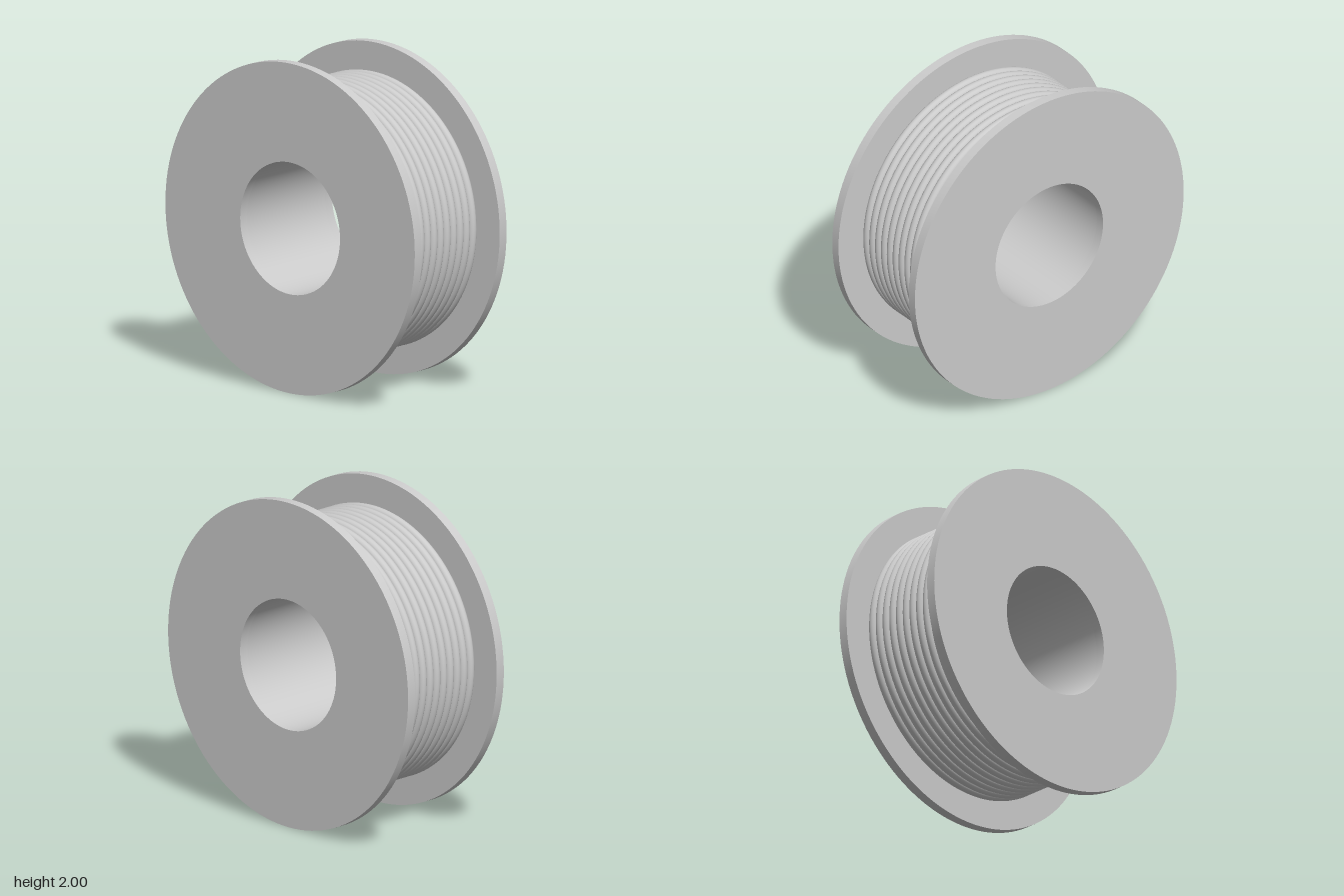
import * as THREE from 'three';
import { toCreasedNormals } from 'three/addons/utils/BufferGeometryUtils.js';

const SEGMENTS = 128;
const HALF_WIDTH = 0.4, FLANGE = 0.06, RIM = 1, BORE = 0.4;
const TURNS = 12, WIRE_OUTER = 0.83;

export function createModel() {
  const model = new THREE.Group();
  model.name = 'wireSpool';
  const material = new THREE.MeshStandardMaterial({ color: 0xcccccc });

  const add = (name, geometry, x = 0) => {
    const mesh = new THREE.Mesh(geometry, material);
    mesh.name = name;
    mesh.position.set(x, 1, 0);
    model.add(mesh);
  };

  // Turned part about the x axis, from [radius, x] points
  const turned = (points) => {
    const profile = points.map(([r, x]) => new THREE.Vector2(r, x));
    const lathe = new THREE.LatheGeometry(profile, SEGMENTS).rotateZ(-Math.PI / 2);
    return toCreasedNormals(lathe, Math.PI / 6);
  };

  // Two flat flanges with a central hole
  const h = FLANGE / 2;
  const flange = turned([[BORE, -h], [RIM, -h], [RIM, h], [BORE, h], [BORE, -h]]);
  add('leftFlange', flange, HALF_WIDTH - h);
  add('rightFlange', flange, h - HALF_WIDTH);

  // Hub: barrel under the wire and the bore through the middle
  const inside = HALF_WIDTH - FLANGE;
  const wire = inside / TURNS;
  const coil = WIRE_OUTER - wire;
  add('hubBarrel', turned([[coil - 0.01, -inside], [coil - 0.01, inside]]));
  add('hubBore', turned([[BORE, inside], [BORE, -inside]]));

  // Wire turns lying side by side
  const turn = new THREE.TorusGeometry(coil, wire, 16, SEGMENTS).rotateY(Math.PI / 2);
  for (let i = 0; i < TURNS; i++) {
    add(`wireTurn${i + 1}`, turn, -inside + wire * (2 * i + 1));
  }

  return model;
}
